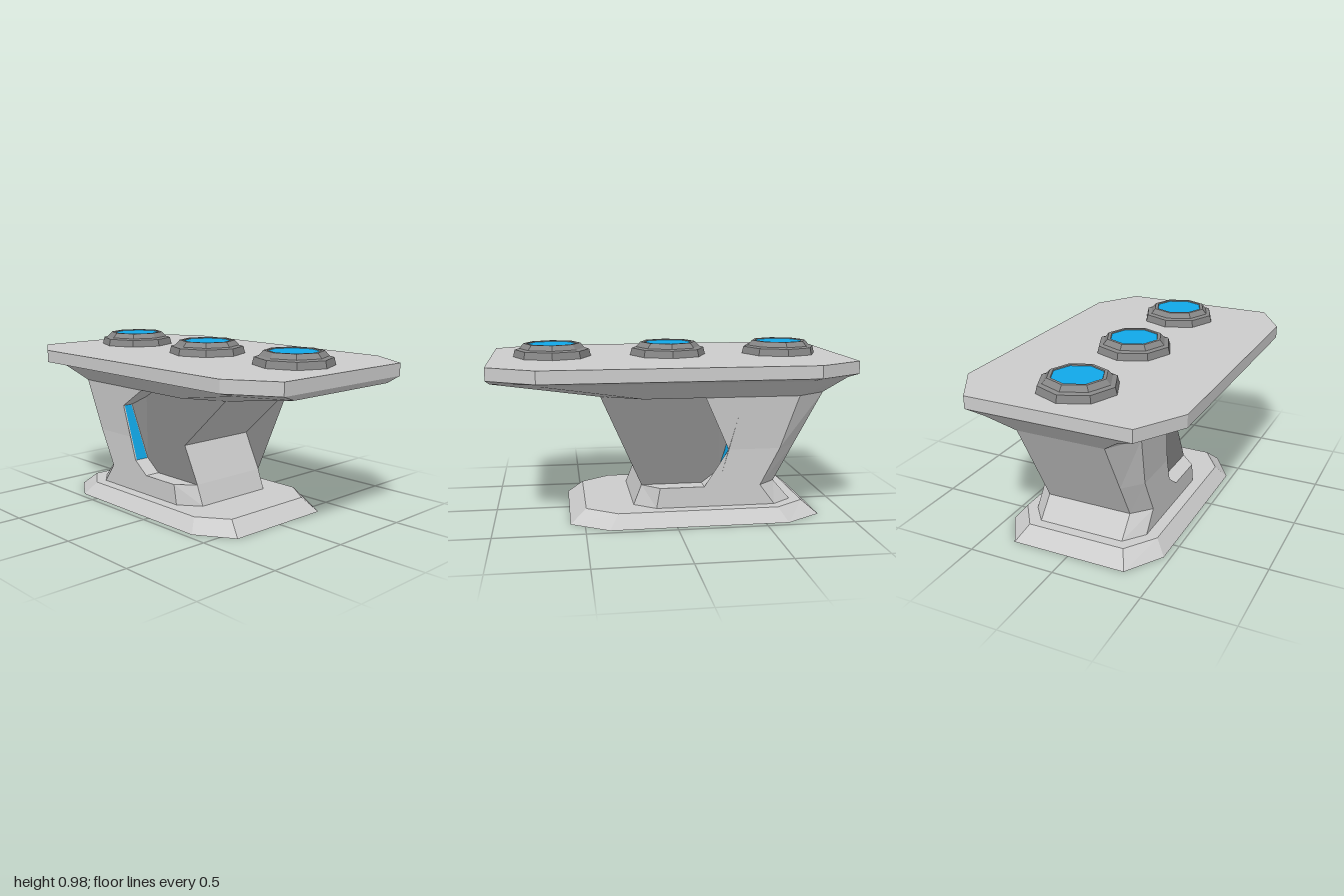
import * as THREE from 'three';

const paint = (color) => new THREE.MeshStandardMaterial({ color, flatShading: true });
const light = paint(0xcccccc), dark = paint(0x888888), blue = paint(0x11a8e8);

// Mesh from flat faces, each a counter-clockwise fan of [x, y, z] corners
function facesMesh(name, faces, material) {
  const pos = [];
  for (const f of faces)
    for (let i = 1; i < f.length - 1; i++) pos.push(...f[0], ...f[i], ...f[i + 1]);
  const geo = new THREE.BufferGeometry();
  geo.setAttribute('position', new THREE.Float32BufferAttribute(pos, 3));
  geo.computeVertexNormals();
  const mesh = new THREE.Mesh(geo, material);
  mesh.name = name;
  return mesh;
}

// Faces plus their mirror images front to back
const mirrored = (faces) =>
  faces.concat(faces.map((f) => f.map(([x, y, z]) => [x, y, -z]).reverse()));

// Octagon at height y: end positions, corner positions, half depth and half end width
const octagon = (y, xl, xr, cl, cr, z, e) => [
  [xr, y, e], [xr, y, -e], [cr, y, -z], [cl, y, -z],
  [xl, y, -e], [xl, y, e], [cl, y, z], [cr, y, z]];

// Closed solid through rings listed from bottom to top
function loft(name, rings, material) {
  const faces = [[...rings[0]].reverse(), rings[rings.length - 1]];
  for (let k = 0; k < rings.length - 1; k++)
    for (let i = 0; i < 8; i++) {
      const j = (i + 1) % 8, a = rings[k], b = rings[k + 1];
      faces.push([a[i], a[j], b[j], b[i]]);
    }
  return facesMesh(name, faces, material);
}

function createColumn() {
  const group = new THREE.Group();
  group.name = 'column';
  const E = 0.248; // half width of the ends and of the recessed core
  const sideZ = (y) => 0.34 + 0.025 * Math.max(0, (y - 0.4) / 0.3);
  const side = (x, y) => [x, y, sideZ(y)];
  const core = (x, y) => [x, y, E];
  const flip = ([x, y, z]) => [x, y, -z];

  const levels = [0.7, 0.4, 0.19, 0.075];
  const cornerX = [-0.7, -0.6, -0.49, -0.575];
  const endX = [-0.87, -0.705, -0.59, -0.69];
  const frontX = [0.4, 0.07, 0.175, 0.22];
  const A = [-0.355, 0.585, 0.293], B = core(-0.27, 0.638), C = core(-0.27, 0.265);
  const aOut = side(-0.355, 0.585), cOut = side(-0.27, 0.265);

  // Outer side faces around the recess
  const shell = [
    [aOut, side(-0.17, 0.7), side(-0.7, 0.7), side(-0.6, 0.4), side(-0.306, 0.4)],
    [cOut, side(-0.306, 0.4), side(-0.6, 0.4), side(-0.49, 0.19), side(-0.17, 0.19)],
    [side(-0.49, 0.19), side(-0.575, 0.075), side(0.1, 0.075), side(0.08, 0.19)],
    [side(0.08, 0.19), side(0.1, 0.075), core(0.22, 0.075), core(0.175, 0.19)],
    // Recess ledge and slanted walls
    [side(-0.17, 0.19), side(0.08, 0.19), core(0.175, 0.19), core(-0.17, 0.19)],
    [cOut, side(-0.17, 0.19), core(-0.17, 0.19), C],
    [side(-0.17, 0.7), aOut, A, B, core(-0.17, 0.7)],
    [aOut, cOut, C, A],
  ];
  const ends = [];
  for (let i = 0; i < 3; i++) {
    const y = levels[i], w = levels[i + 1];
    const t = core(endX[i], y), b = core(endX[i + 1], w);
    shell.push([side(cornerX[i], y), t, b, side(cornerX[i + 1], w)]);
    ends.push([t, flip(t), flip(b), b]);
    const u = core(frontX[i], y), v = core(frontX[i + 1], w);
    ends.push([u, v, flip(v), flip(u)]);
  }
  group.add(facesMesh('columnShell', mirrored(shell).concat(ends), light));

  // Dark recessed panels
  group.add(facesMesh('recessPanels', mirrored([
    [core(0.07, 0.4), core(0.4, 0.7), core(-0.17, 0.7), B, C, core(-0.17, 0.19), core(0.175, 0.19)],
    [A, C, B],
  ]), dark));

  // Blue strips, slightly proud of the recess end walls
  const strip = (p, q, s) => [0, 1, 2].map((k) => p[k] + (q[k] - p[k]) * s + (k === 0 ? 0.004 : 0));
  group.add(facesMesh('lightStrips', mirrored([
    [strip(aOut, A, 0.1), strip(cOut, C, 0.08), strip(cOut, C, 0.92), strip(aOut, A, 0.88)],
  ]), blue));
  return group;
}

// Stepped eight-sided pad with a blue inset
function createPad(x) {
  const group = new THREE.Group();
  group.name = 'pad';
  const profile = [[0.22, 0], [0.21, 0.04], [0.185, 0.047], [0.16, 0.075], [0.142, 0.075], [0.138, 0.068]]
    .map(([r, y]) => new THREE.Vector2(r, y));
  const ring = new THREE.Mesh(new THREE.LatheGeometry(profile, 8), dark);
  ring.name = 'padRing';
  const disc = new THREE.Mesh(new THREE.CircleGeometry(0.14, 8), blue);
  disc.name = 'padInset';
  disc.rotation.x = -Math.PI / 2;
  disc.position.y = 0.07;
  group.add(ring, disc);
  group.position.set(x, 0.9, 0);
  return group;
}

export function createModel() {
  const model = new THREE.Group();
  model.name = 'padTable';
  model.add(loft('base', [
    octagon(0, -0.84, 0.58, -0.63, 0.37, 0.465, 0.33),
    octagon(0.075, -0.75, 0.49, -0.58, 0.32, 0.405, 0.285),
  ], light));
  model.add(createColumn());
  model.add(loft('tableTop', [
    octagon(0.7, -0.87, 0.4, -0.7, 0.17, 0.365, E_TOP),
    octagon(0.8, -0.97, 0.985, -0.73, 0.72, 0.5, 0.37),
    octagon(0.83, -1, 1, -0.74, 0.74, 0.62, 0.46),
    octagon(0.9, -1, 1, -0.74, 0.74, 0.62, 0.46),
  ], light));
  for (const x of [-0.67, -0.01, 0.655]) model.add(createPad(x));
  return model;
}

// Half width of the narrow underside ends, matching the column
const E_TOP = 0.248;
